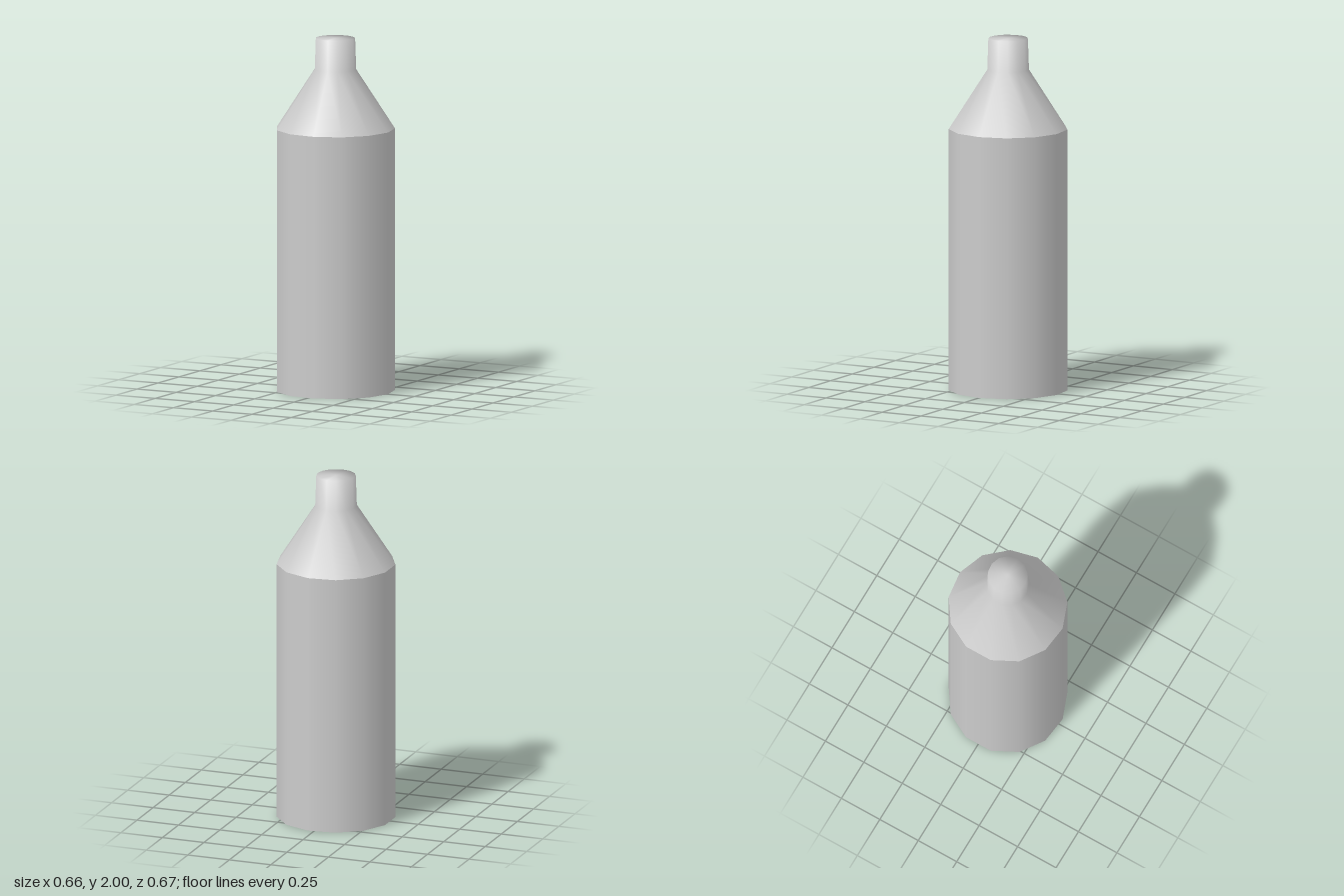
import * as THREE from 'three';

const SIDES = 13;
const material = new THREE.MeshStandardMaterial({ color: 0xcccccc, side: THREE.DoubleSide });

// Revolves a [radius, height] profile, with one corner pointing to +x
function turned(name, profile) {
  const points = profile.map(([r, y]) => new THREE.Vector2(r, y));
  const geometry = new THREE.LatheGeometry(points, SIDES, Math.PI / 2);
  geometry.normalizeNormals();
  const mesh = new THREE.Mesh(geometry, material);
  mesh.name = name;
  return mesh;
}

export function createModel() {
  const bottle = new THREE.Group();
  bottle.name = 'bottle';

  // Straight body, open underneath
  const body = turned('body', [[0.336, 0], [0.336, 1.487]]);

  // Conical shoulder running smoothly into the neck and its flat, softly shaded cap
  const neck = turned('shoulderAndNeck', [[0.336, 1.487], [0.118, 1.823], [0.112, 2], [0, 2]]);

  // The odd number of sides puts the axis slightly off the middle of the width
  for (const part of [body, neck]) {
    part.position.x = -0.005;
    bottle.add(part);
  }
  return bottle;
}
